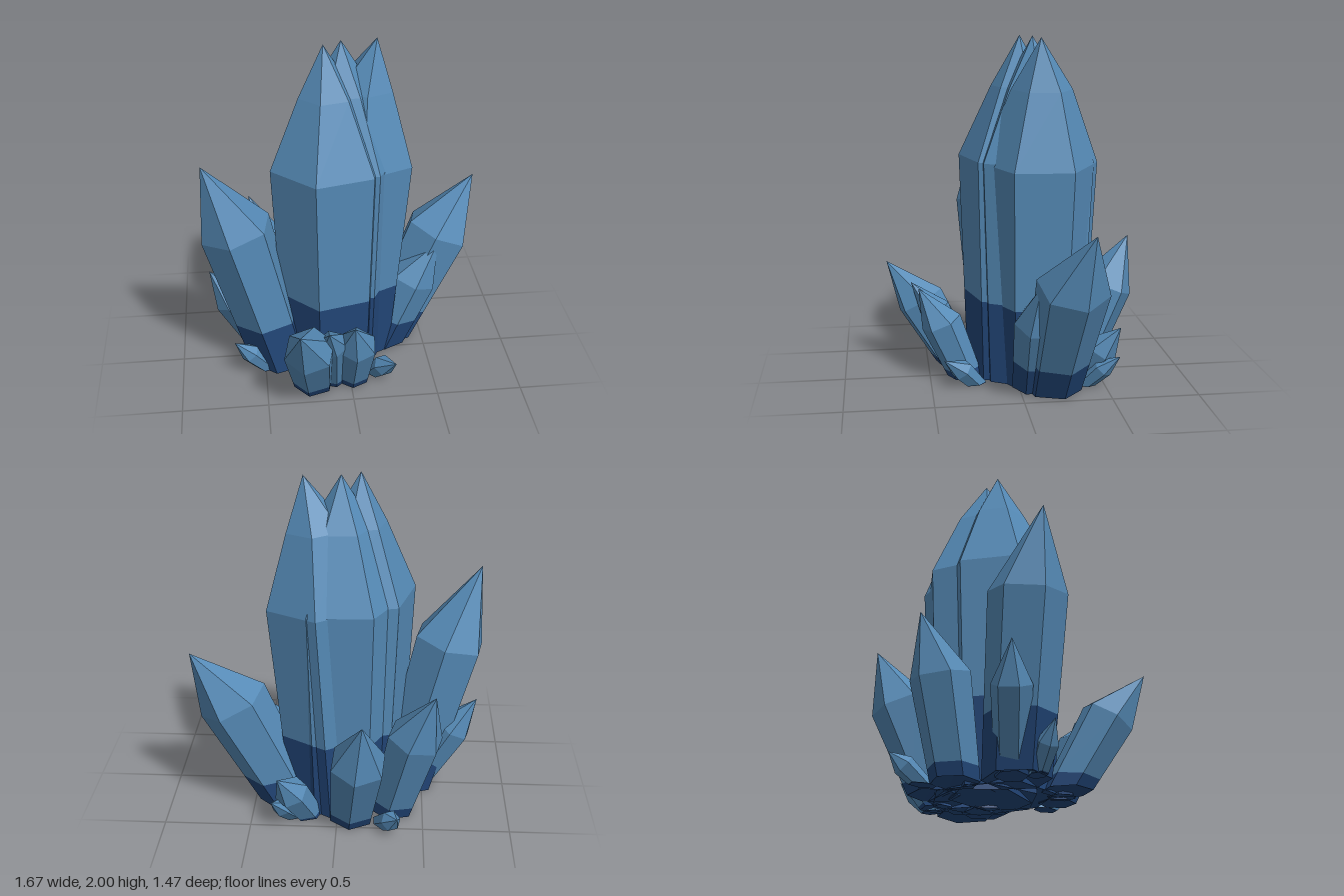
import * as THREE from 'three';

const V = (p) => new THREE.Vector3(...p);
const SIDES = 6;

// Ring of corners around a centre, square to the crystal's axis
function ring(centre, axis, radius, phase) {
  const u = new THREE.Vector3(1, 0, 0).addScaledVector(axis, -axis.x).normalize();
  const v = new THREE.Vector3().crossVectors(axis, u);
  return Array.from({ length: SIDES }, (_, i) => {
    const a = (phase + (i * 360) / SIDES) * Math.PI / 180;
    return centre.clone().addScaledVector(u, radius * Math.cos(a)).addScaledVector(v, radius * Math.sin(a));
  });
}

// Faceted skin through a stack of rings; a single point closes an end
function skin(rings) {
  const pos = [];
  const tri = (...pts) => pts.forEach((p) => pos.push(p.x, p.y, p.z));
  for (let k = 0; k + 1 < rings.length; k++) {
    const lo = rings[k], hi = rings[k + 1];
    for (let i = 0; i < SIDES; i++) {
      const j = (i + 1) % SIDES;
      if (lo.length > 1) tri(lo[i], lo[j], hi.length > 1 ? hi[j] : hi[0]);
      if (hi.length > 1) tri(lo.length > 1 ? lo[i] : lo[0], hi[j], hi[i]);
    }
  }
  const g = new THREE.BufferGeometry();
  g.setAttribute('position', new THREE.Float32BufferAttribute(pos, 3));
  g.computeVertexNormals();
  return g;
}

export function createModel() {
  const model = new THREE.Group();
  model.name = 'crystalCluster';
  const blue = new THREE.MeshStandardMaterial({ name: 'crystalBlue', color: 0x558ab6, flatShading: true });
  const navy = new THREE.MeshStandardMaterial({ name: 'deepBlue', color: 0x224678, flatShading: true });

  // One crystal: dark foot cut off at the ground, light shaft, pointed tip
  function crystal({ name, base, shoulder, tip, r, phase = 15, dark = 0.1, taper = 0.8, upper }) {
    const b = V(base), s = V(shoulder);
    const axis = s.clone().sub(b).normalize();
    const top = ring(s, axis, r, phase);
    const foot = ring(b, axis, r * taper, phase).map((p, i) =>
      top[i].clone().lerp(p, top[i].y / (top[i].y - p.y)));
    const mid = foot.map((p, i) => p.clone().lerp(top[i], dark));
    const shaft = [mid, top];
    if (upper) shaft.push(ring(V(upper.at), axis, upper.r, phase));
    shaft.push([V(tip)]);

    const group = new THREE.Group();
    group.name = name;
    const body = new THREE.Mesh(skin(shaft), blue);
    body.name = name + 'Body';
    // The underside is hollowed a little
    const hollow = b.clone().addScaledVector(axis, r * 0.25);
    const root = new THREE.Mesh(skin([[hollow], foot, mid]), navy);
    root.name = name + 'Foot';
    group.add(body, root);
    model.add(group);
  }

  // Three tall central crystals
  crystal({ name: 'mainFront', base: [-0.09, 0, -0.02], shoulder: [-0.095, 1.3, -0.03], tip: [-0.115, 2, -0.05],
    r: 0.345, phase: 14, dark: 0.37, taper: 0.85, upper: { at: [-0.1, 1.71, -0.045], r: 0.165 } });
  crystal({ name: 'mainLeft', base: [0.03, 0, -0.13], shoulder: [0.1, 1.29, -0.135], tip: [0.195, 2, -0.13],
    r: 0.335, phase: 28, dark: 0.37, taper: 0.85, upper: { at: [0.13, 1.71, -0.145], r: 0.175 } });
  crystal({ name: 'mainBack', base: [-0.015, 0, -0.11], shoulder: [-0.01, 1.3, -0.12], tip: [-0.01, 2, -0.11],
    r: 0.364, phase: 1.5, dark: 0.37, taper: 0.85, upper: { at: [-0.01, 1.71, -0.12], r: 0.18 } });

  // Leaning side crystals
  crystal({ name: 'rightLarge', base: [-0.4, 0, 0.03], shoulder: [-0.64, 0.95, 0.07], tip: [-0.815, 1.39, 0.14],
    r: 0.215, phase: 20, dark: 0.34, taper: 0.85 });
  crystal({ name: 'rightSmall', base: [-0.45, 0, 0], shoulder: [-0.68, 0.41, -0.02], tip: [-0.81, 0.61, -0.03], r: 0.11 });
  crystal({ name: 'rightTiny', base: [-0.48, 0, 0.13], shoulder: [-0.59, 0.14, 0.17], tip: [-0.68, 0.24, 0.2], r: 0.06, dark: 0.05 });
  crystal({ name: 'leftLarge', base: [0.29, 0, -0.19], shoulder: [0.61, 0.69, -0.25], tip: [0.83, 1.02, -0.33],
    r: 0.205, phase: 15, dark: 0.29 });
  crystal({ name: 'leftSmall', base: [0.25, 0, -0.09], shoulder: [0.43, 0.44, -0.1], tip: [0.58, 0.69, -0.08],
    r: 0.15, phase: 30, dark: 0.42, taper: 0.85 });

  // Front crystals
  crystal({ name: 'frontLarge', base: [-0.22, 0, 0.31], shoulder: [-0.26, 0.4, 0.54], tip: [-0.32, 0.63, 0.74], r: 0.15, dark: 0.17 });
  crystal({ name: 'frontMiddle', base: [-0.1, 0, 0.3], shoulder: [-0.12, 0.38, 0.46], tip: [-0.15, 0.54, 0.6], r: 0.09, phase: 40 });
  crystal({ name: 'frontSmall', base: [0.015, 0, 0.29], shoulder: [0.025, 0.34, 0.43], tip: [0, 0.54, 0.56], r: 0.12, phase: 25, dark: 0.15 });
  crystal({ name: 'frontTiny', base: [0.15, 0, 0.24], shoulder: [0.2, 0.1, 0.325], tip: [0.26, 0.18, 0.43], r: 0.065, dark: 0.03 });

  // Back crystals
  crystal({ name: 'backLarge', base: [-0.08, 0, -0.38], shoulder: [-0.125, 0.49, -0.58], tip: [-0.15, 0.79, -0.72], r: 0.165, phase: 25, dark: 0.14 });
  crystal({ name: 'backRight', base: [-0.32, 0, -0.28], shoulder: [-0.445, 0.54, -0.375], tip: [-0.55, 0.86, -0.49], r: 0.165, dark: 0.14 });
  crystal({ name: 'backLeft', base: [0.17, 0, -0.36], shoulder: [0.26, 0.22, -0.48], tip: [0.33, 0.36, -0.58], r: 0.1, dark: 0.1 });
  crystal({ name: 'backLeftTiny', base: [0.25, 0, -0.38], shoulder: [0.315, 0.12, -0.48], tip: [0.37, 0.2, -0.57], r: 0.06, dark: 0.03 });
  crystal({ name: 'backRightTiny', base: [-0.26, 0, -0.44], shoulder: [-0.315, 0.09, -0.55], tip: [-0.35, 0.15, -0.63], r: 0.06, dark: 0.03 });

  return model;
}
